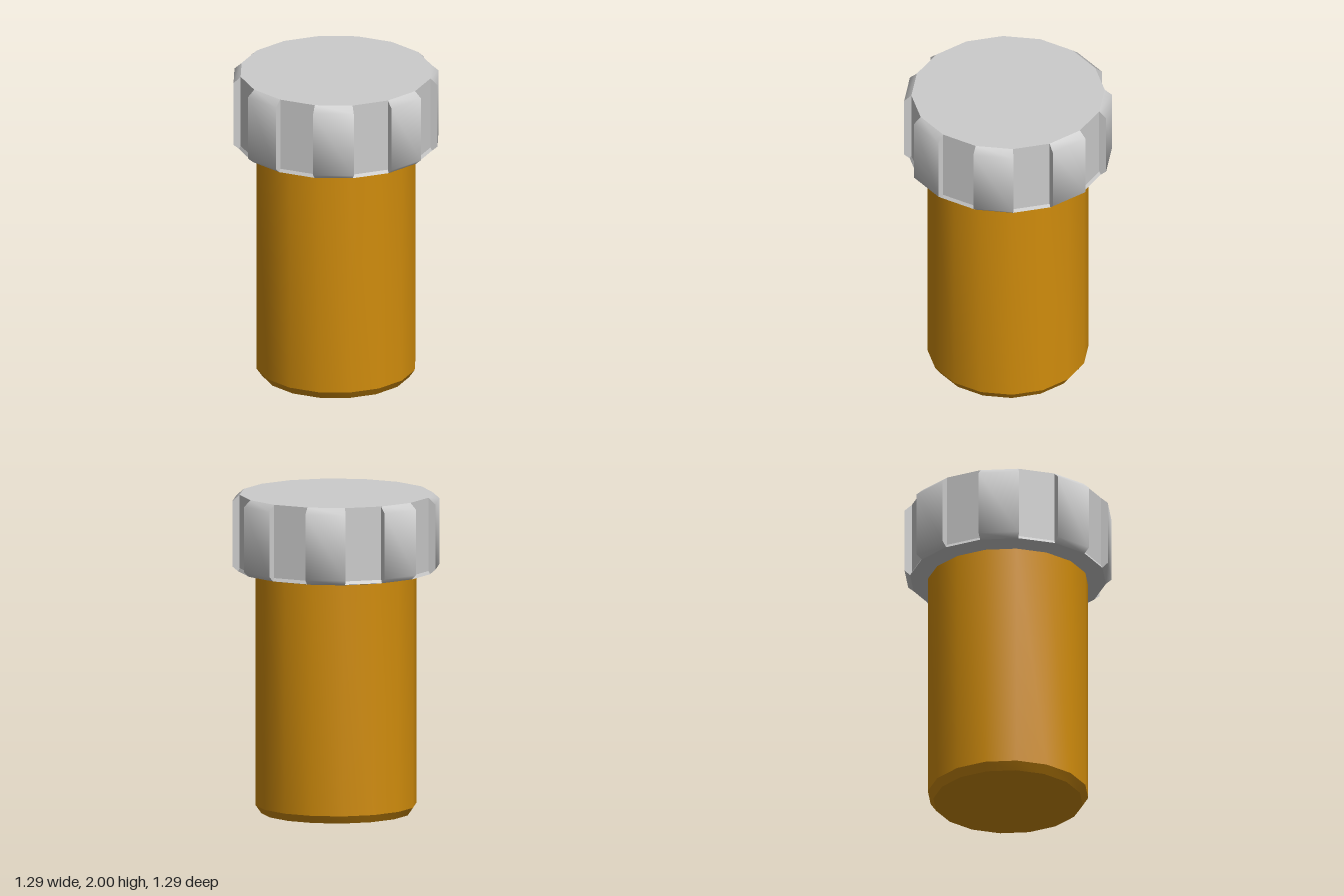
import * as THREE from 'three';
import { toCreasedNormals } from 'three/addons/utils/BufferGeometryUtils.js';

const SIDES = 16;
const STEP = (Math.PI * 2) / SIDES;
const points = (list) => list.map(([r, y]) => new THREE.Vector2(r, y));

function addMesh(parent, name, geometry, material) {
  const mesh = new THREE.Mesh(geometry, material);
  mesh.name = name;
  parent.add(mesh);
  return mesh;
}

export function createModel() {
  const model = new THREE.Group();
  model.name = 'cappedContainer';
  const amber = new THREE.MeshStandardMaterial({ color: 0xd08c0c });
  const grey = new THREE.MeshStandardMaterial({ color: 0xcccccc });
  const flatGrey = new THREE.MeshStandardMaterial({ color: 0xcccccc, flatShading: true });
  const endGrey = new THREE.MeshStandardMaterial({ color: 0xcccccc, side: THREE.DoubleSide });

  // Container body with a chamfered foot
  const bodyProfile = points([[0, 0], [0.465, 0], [0.5, 0.05], [0.5, 1.51]]);
  const body = new THREE.LatheGeometry(bodyProfile, SIDES);
  addMesh(model, 'body', toCreasedNormals(body, 0.5), amber);

  // Cap core with a narrow lip around its lower edge
  const cap = new THREE.Group();
  cap.name = 'cap';
  model.add(cap);
  const coreProfile = points([[0, 1.5], [0.5, 1.5], [0.61, 1.52], [0.6, 1.54], [0.6, 2], [0, 2]]);
  addMesh(cap, 'capCore', new THREE.LatheGeometry(coreProfile, SIDES), flatGrey);

  // Raised grips on every second side of the cap
  const gripProfile = points([[0.61, 1.52], [0.645, 1.55], [0.645, 1.96], [0.6, 2]]);
  const gripEnd = new THREE.Shape([new THREE.Vector2(0.59, 1.52), ...gripProfile, new THREE.Vector2(0.59, 2)]);
  const faceGeometry = toCreasedNormals(new THREE.LatheGeometry(gripProfile, 1, 0, STEP), 1.0);
  const endGeometry = new THREE.ShapeGeometry(gripEnd);
  for (let i = 0; i < SIDES; i += 2) {
    const grip = new THREE.Group();
    grip.name = 'grip';
    grip.rotation.y = i * STEP;
    addMesh(grip, 'gripFace', faceGeometry, grey);
    for (const angle of [0, STEP]) {
      addMesh(grip, 'gripEnd', endGeometry, endGrey).rotation.y = angle - Math.PI / 2;
    }
    cap.add(grip);
  }
  return model;
}
